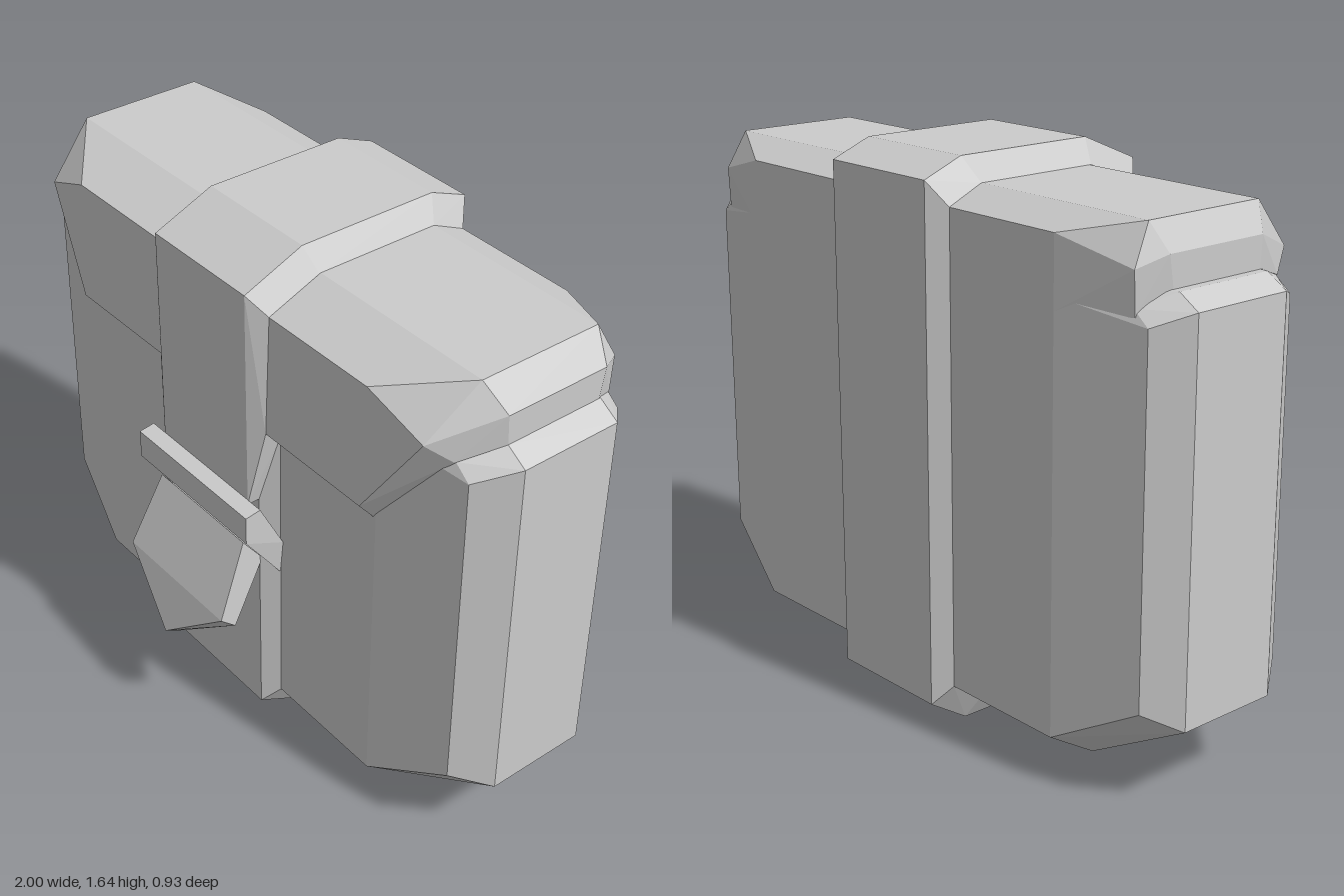
import * as THREE from 'three';
import { ConvexGeometry } from 'three/addons/geometries/ConvexGeometry.js';

const material = new THREE.MeshStandardMaterial({ color: 0xcccccc, flatShading: true });

// Faceted solid spanned by corner points [x, y, z]
function solid(name, points) {
  const geometry = new ConvexGeometry(points.map(p => new THREE.Vector3(...p)));
  const mesh = new THREE.Mesh(geometry, material);
  mesh.name = name;
  return mesh;
}

// Mirrors corner points across x = 0
const mirror = points => points.flatMap(([x, y, z]) => [[x, y, z], [-x, y, z]]);

// Places a side profile of [z, y] pairs at a given half width
const section = (x, profile) => profile.map(([z, y]) => [x, y, z]);

export function createModel() {
  const bag = new THREE.Group();
  bag.name = 'satchel';

  // Chamfered main compartment: [x, y, front z, back z]
  const bodyRings = [
    [0.70, 0.08, 0.09, -0.31],
    [0.65, 0.14, 0.22, -0.42],
    [0.92, 0.29, 0.16, -0.36],
    [1.00, 0.24, 0.05, -0.27],
    [1.00, 1.36, 0.05, -0.27],
    [0.92, 1.32, 0.16, -0.36],
    [0.87, 1.36, 0.16, -0.36],
    [0.935, 1.40, 0.05, -0.27],
    [0.65, 1.36, 0.22, -0.42],
  ];
  bag.add(solid('body', mirror(bodyRings.flatMap(([x, y, f, b]) => [[x, y, f], [x, y, b]]))));

  // Closing flap over the top, front and rear shoulder
  const flap = [
    [0.865, 1.57, 0.085], [0.865, 1.57, -0.31],
    [0.64, 1.50, 0.256], [0.83, 1.42, 0.235],
    [0.64, 1.13, 0.27], [0.64, 1.07, 0.22],
    [0.87, 1.36, 0.165],
    [0.65, 1.52, -0.42], [0.65, 1.32, -0.42],
    [0.88, 1.46, -0.37], [0.88, 1.34, -0.365],
  ];
  // The flap ends reach slightly further on its left
  const flapEnds = [0.935, -0.91].flatMap(x => [
    [x, 1.49, 0.055], [x, 1.49, -0.28], [x, 1.40, 0.05], [x, 1.40, -0.265],
  ]);
  bag.add(solid('flap', [...mirror(flap), ...flapEnds]));

  // Belt running around the whole bag, with bevelled edges
  const beltOuter = [[0.11, 0], [0.26, 0.08], [0.26, 1.3], [0.11, 1.64],
    [-0.34, 1.64], [-0.465, 1.59], [-0.465, 0.08], [-0.34, 0]];
  const beltInner = [[0.09, 0.08], [0.22, 0.14], [0.22, 1.3], [0.09, 1.57],
    [-0.31, 1.57], [-0.42, 1.52], [-0.42, 0.14], [-0.31, 0.08]];
  bag.add(solid('belt', mirror([...section(0.2, beltOuter), ...section(0.247, beltInner)])));

  // Strap lying over the flap, narrowing into the buckle
  bag.add(solid('frontStrap', mirror([
    ...section(0.2, [[0.30, 1.56], [0.11, 1.64], [-0.3, 1.64], [0.30, 0.87], [0.2, 0.87]]),
    ...section(0.247, [[0.256, 1.5], [0.27, 1.13], [0.22, 1.1], [0.09, 1.57]]),
  ])));

  // Slanted buckle bar
  bag.add(solid('buckle', mirror([
    ...section(0.258, [[0.35, 0.88], [0.30, 0.887], [0.35, 0.79], [0.22, 0.73]]),
    ...section(0.245, [[0.22, 0.61]]),
  ])));

  // Loose strap end: bent plate with a pointed tip
  const bend = [[0.225, 0.515, 0.42], [0.225, 0.47, 0.37]];
  const strapEnd = new THREE.Group();
  strapEnd.name = 'strapEnd';
  strapEnd.add(
    solid('strapEndUpper', mirror([[0.2, 0.74, 0.318], [0.2, 0.65, 0.25], ...bend])),
    solid('strapEndTip', [...mirror(bend), [0, 0.34, 0.465], [0, 0.31, 0.41]]),
  );
  bag.add(strapEnd);

  return bag;
}
